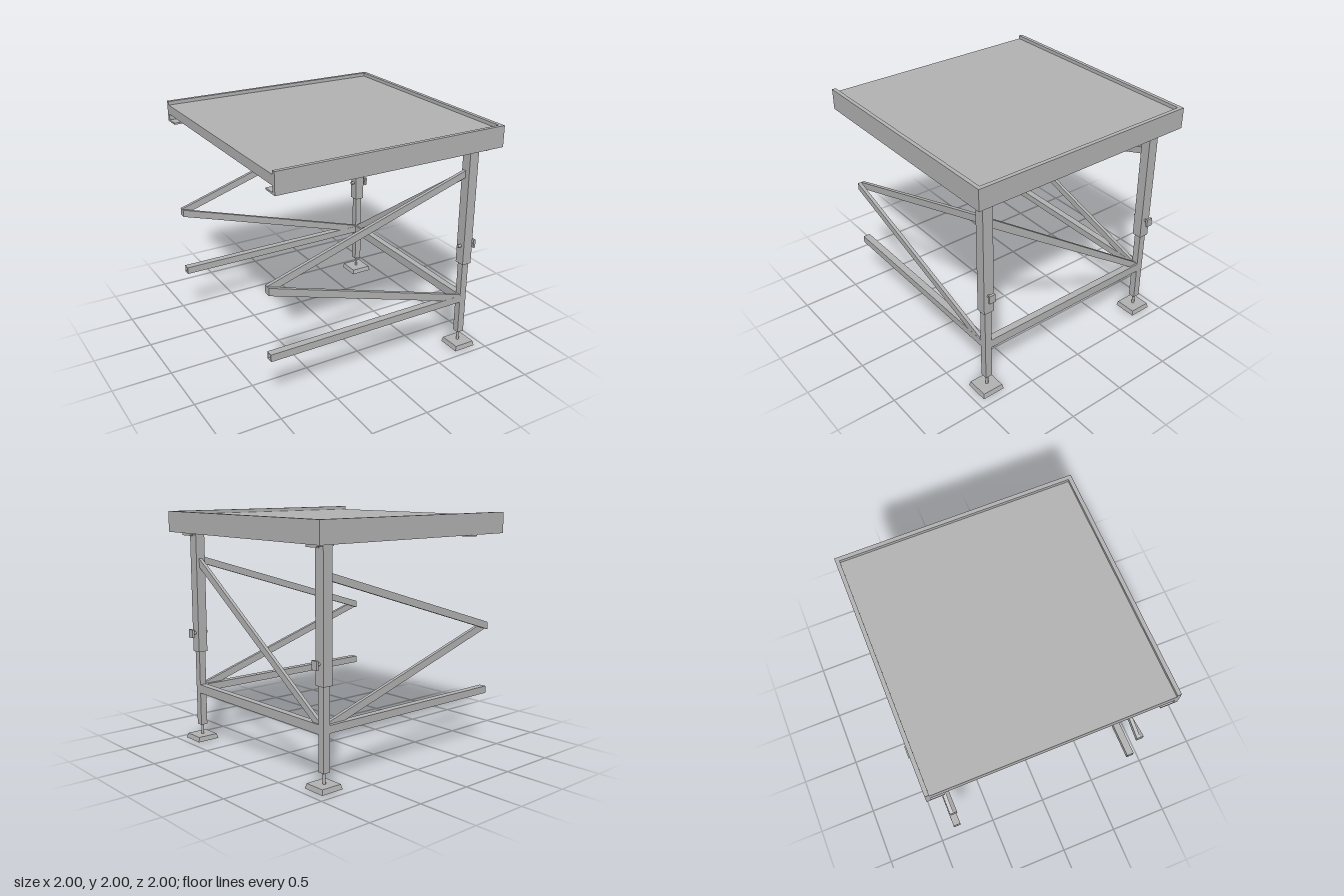
import * as THREE from 'three';

export function createModel() {
  const model = new THREE.Group();
  const steel = new THREE.MeshStandardMaterial({ color: 0xb0b0b0 });
  steel.name = 'grey steel';

  const add = (name, geo, parent = model) => {
    const mesh = new THREE.Mesh(geo, steel);
    mesh.name = name;
    parent.add(mesh);
    return mesh;
  };
  // Box given by its lower and upper limits on each axis
  const box = (name, x0, x1, y0, y1, z0, z1, parent) =>
    add(name, new THREE.BoxGeometry(x1 - x0, y1 - y0, z1 - z0)
      .translate((x0 + x1) / 2, (y0 + y1) / 2, (z0 + z1) / 2), parent);
  // Outline in the XY plane, extruded along +z
  const plate = (points, depth, hole) => {
    const shape = new THREE.Shape(points.map(p => new THREE.Vector2(...p)));
    if (hole) shape.holes.push(new THREE.Path(hole.map(p => new THREE.Vector2(...p))));
    return new THREE.ExtrudeGeometry(shape, { depth, bevelEnabled: false });
  };
  const square = r => [[-r, -r], [r, -r], [r, r], [-r, r]];

  // Deck board with its two under-beams
  const deck = new THREE.Group();
  deck.name = 'deck';
  model.add(deck);
  box('deckBoard', -1, 0.966, 1.94, 1.97, -0.957, 0.967, deck);
  box('middleBeam', -0.04, 0.04, 1.87, 1.94, -0.957, 0.967, deck);
  box('endBeam', -1, -0.96, 1.89, 1.94, -0.957, 0.967, deck);

  // Edge frame on three sides: upright web with an inward bottom flange
  box('frontRailWeb', -1, 1, 1.825, 2, 0.967, 1, deck);
  box('frontRailFlange', -1, 0.966, 1.825, 1.84, 0.86, 0.967, deck);
  box('backRailWeb', -1, 1, 1.825, 2, -0.99, -0.957, deck);
  box('backRailFlange', -1, 0.966, 1.825, 1.84, -0.957, -0.85, deck);
  box('sideRailWeb', 0.966, 1, 1.825, 2, -0.957, 0.967, deck);
  box('sideRailFlange', 0.86, 0.966, 1.825, 1.84, -0.85, 0.86, deck);
  box('railTab', -0.65, -0.555, 1.815, 1.825, -1, -0.89, deck);

  // Adjustable legs, each with its bar and pair of diagonal braces
  for (const [side, z] of [['front', 0.83], ['back', -0.83]]) {
    const frame = new THREE.Group();
    frame.name = side + 'Frame';
    frame.position.z = z;
    model.add(frame);

    const cx = 0.828;
    box('upperLegTube', 0.786, 0.87, 0.79, 1.825, -0.045, 0.045, frame);
    box('lowerLegTube', 0.798, 0.858, 0.13, 0.79, -0.03, 0.03, frame);
    add('footScrew', new THREE.CylinderGeometry(0.012, 0.012, 0.1, 12), frame)
      .position.set(cx, 0.085, 0);
    // Square foot with slightly sloping sides
    const foot = new THREE.CylinderGeometry(0.09 * Math.SQRT2, 0.1 * Math.SQRT2, 0.04, 4)
      .toNonIndexed().rotateY(Math.PI / 4);
    foot.computeVertexNormals();
    add('footPlate', foot, frame).position.set(cx, 0.02, 0.005);

    // Locking screw through the leg
    add('lockScrew', new THREE.CylinderGeometry(0.013, 0.013, 0.15, 12).rotateZ(Math.PI / 2), frame)
      .position.set(0.83, 0.955, 0.003);
    box('lockHandle', 0.9, 0.92, 0.917, 0.988, -0.025, 0.03, frame);

    // Bracket under the deck
    box('legBracket', 0.775, 0.905, 1.805, 1.825, -0.05, 0.11, frame);
    box('bracketLip', 0.885, 0.905, 1.795, 1.807, -0.015, 0.11, frame);

    // Hollow horizontal bar
    const bar = plate(square(0.031), 1.8, square(0.024)).rotateY(-Math.PI / 2);
    add('lowerBar', bar, frame).position.set(0.8, 0.46, 0);

    // Diagonals meeting at the open end
    add('lowerBrace', plate([[-1, 0.995], [0.8, 0.435], [0.8, 0.5], [-1, 1.058]], 0.03), frame);
    add('upperBrace', plate([[-1, 0.995], [0.79, 1.555], [0.79, 1.615], [-1, 1.058]], 0.03), frame)
      .position.z = -0.03;
  }

  // Crossbar and diagonal between the two legs
  box('crossBar', 0.798, 0.858, 0.42, 0.495, -0.8, 0.8);
  const diagonal = plate([[-0.79, 1.53], [0.8, 0.44], [0.8, 0.505], [-0.79, 1.605]], 0.03)
    .rotateY(Math.PI / 2);
  add('crossBrace', diagonal).position.x = 0.813;

  return model;
}
